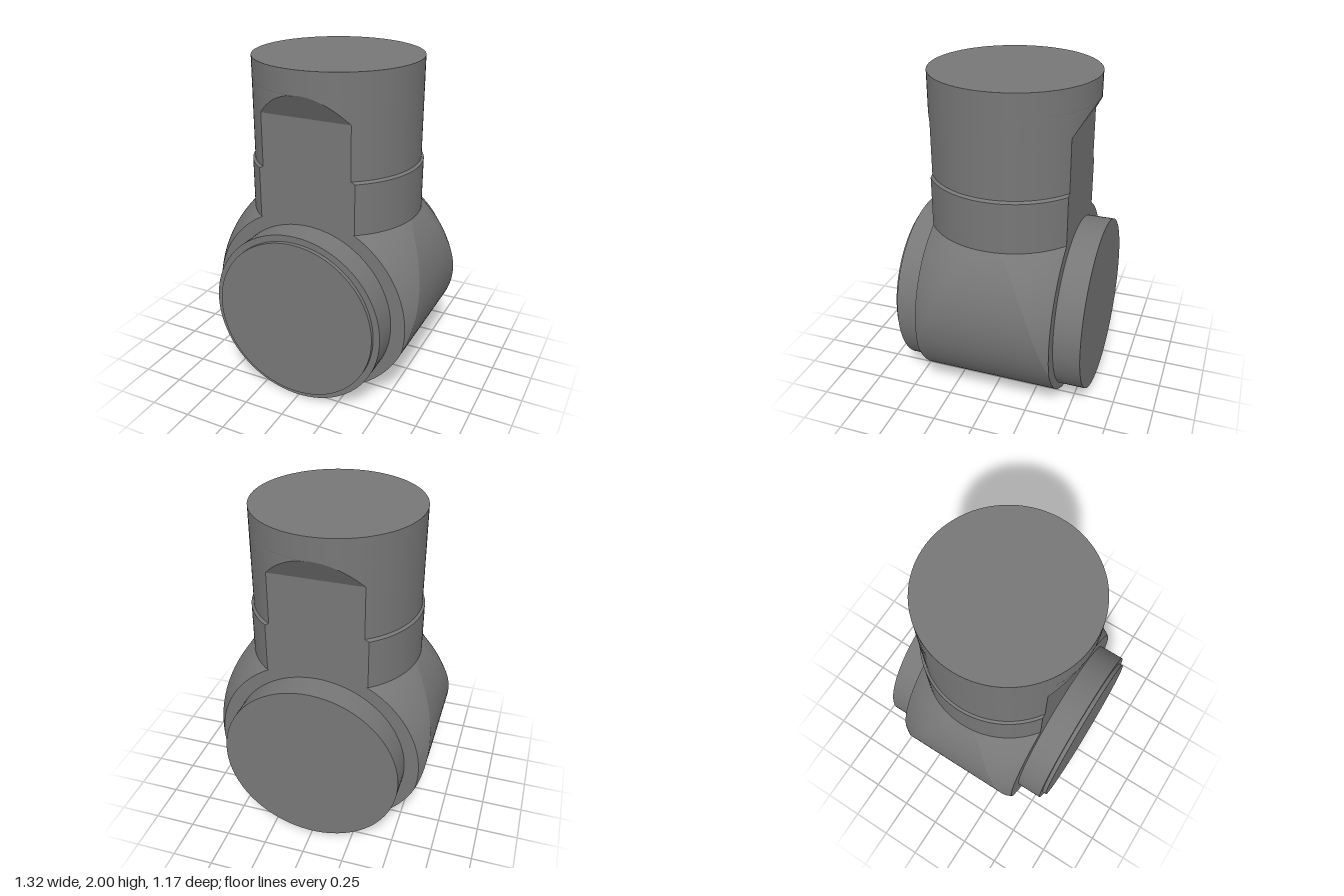
import * as THREE from 'three';
import { mergeGeometries } from 'three/addons/utils/BufferGeometryUtils.js';

const DEPTH = 0.412;   // half distance between the flat front and back
const SHIFT = -0.012;  // slight rearward offset of body and neck
const NECK_Y = 1.087;  // where the neck leaves the body

// Grid surface; fn(u, v) returns [x, y, z], facing du x dv
function patch(nu, nv, fn) {
  const pos = [], idx = [];
  for (let j = 0; j <= nv; j++)
    for (let i = 0; i <= nu; i++) pos.push(...fn(i / nu, j / nv));
  for (let j = 0; j < nv; j++)
    for (let i = 0; i < nu; i++) {
      const a = j * (nu + 1) + i, b = a + 1, c = b + nu + 1, d = a + nu + 1;
      idx.push(a, b, c, a, c, d);
    }
  const g = new THREE.BufferGeometry();
  g.setAttribute('position', new THREE.Float32BufferAttribute(pos, 3));
  g.setIndex(idx);
  g.computeVertexNormals();
  return g;
}

// Joins half a surface with its copy turned half way round the y axis
function turnedPair(parts) {
  const half = mergeGeometries(parts);
  return mergeGeometries([half, half.clone().rotateY(Math.PI)]);
}

// Body: horizontal cylinder trimmed by a sphere and two flat faces
function bodyGeometry() {
  const R = 0.66, cy = 0.66, S2 = 0.5555, sy = 0.54;
  const face2 = S2 - DEPTH * DEPTH;
  // height at which the sphere starts trimming the flat faces
  const yCut = (face2 - sy * sy - R * R + cy * cy) / (2 * (cy - sy));
  const tCut = Math.asin((yCut - cy) / R), tTop = Math.asin((NECK_Y - cy) / R);
  const lowY = v => cy + R * Math.sin(THREE.MathUtils.lerp(-Math.PI / 2, tCut, v));
  const highY = v => cy + R * Math.sin(THREE.MathUtils.lerp(tCut, tTop, v));
  const cylX = y => Math.sqrt(Math.max(0, R * R - (y - cy) ** 2));
  const sphX = (y, z) => Math.sqrt(Math.max(0, S2 - (y - sy) ** 2 - z * z));
  const seam = y => Math.min(DEPTH, Math.sqrt(Math.max(0, S2 - (y - sy) ** 2 - cylX(y) ** 2)));

  const yAt = v => (v <= 0.5 ? lowY(v * 2) : highY(v * 2 - 1));
  const side = patch(4, 64, (u, v) => {
    const y = yAt(v), b = y <= yCut ? DEPTH : seam(y);
    return [cylX(y), y, b * (1 - 2 * u)];
  });
  const shoulder = back => patch(12, 32, (u, v) => {
    const y = highY(v), b = seam(y);
    const z = back ? -THREE.MathUtils.lerp(b, DEPTH, u) : THREE.MathUtils.lerp(DEPTH, b, u);
    return [sphX(y, z), y, z];
  });
  const face = patch(2, 64, (u, v) => {
    const y = yAt(v), x = Math.min(cylX(y), sphX(y, DEPTH));
    return [x * (2 * u - 1), y, DEPTH];
  });
  return turnedPair([side, shoulder(false), shoulder(true), face]);
}

// Upright round column with flats; levels are [y, radius, flat distance]
function columnGeometry(levels) {
  const arc = (u, y, r, f) => {
    const t = Math.asin(Math.min(1, f / r)) * (1 - 2 * u);
    return [r * Math.cos(t), y, r * Math.sin(t)];
  };
  const flat = (u, y, r, f) => [Math.sqrt(Math.max(0, r * r - f * f)) * (2 * u - 1), y, Math.min(f, r)];
  const parts = [];
  for (let k = 0; k + 1 < levels.length; k++) {
    const at = v => levels[k].map((a, n) => THREE.MathUtils.lerp(a, levels[k + 1][n], v));
    for (const edge of [arc, flat]) parts.push(patch(40, 16, (u, v) => edge(u, ...at(v))));
  }
  // end caps
  const cap = (level, up) => {
    for (const edge of [arc, flat])
      parts.push(patch(40, 1, (u, v) => {
        const [x, y, z] = edge(u, ...level), s = up ? 1 - v : v;
        return [x * s, y, z * s];
      }));
  };
  cap(levels[0], false);
  cap(levels[levels.length - 1], true);
  return turnedPair(parts);
}

export function createModel() {
  const group = new THREE.Group();
  const material = new THREE.MeshStandardMaterial({ color: 0x777777 });
  const add = (name, geometry, y, z) => {
    const mesh = new THREE.Mesh(geometry, material);
    mesh.name = name;
    mesh.position.set(0, y, z);
    group.add(mesh);
  };
  // Disc lying along z between z0 and z1
  const disc = (name, r, z0, z1) =>
    add(name, new THREE.CylinderGeometry(r, r, z1 - z0, 96).rotateX(Math.PI / 2), 0.55, (z0 + z1) / 2);

  add('body', bodyGeometry(), 0, SHIFT);

  // Neck collar with a small chamfer, then the head whose flats slope out to full round
  add('neckCollar', columnGeometry([[NECK_Y, 0.51, DEPTH], [1.39, 0.51, DEPTH], [1.403, 0.496, DEPTH]]), 0, SHIFT);
  add('head', columnGeometry([[1.403, 0.496, DEPTH], [1.72, 0.496, DEPTH], [1.865, 0.496, 0.496], [2, 0.496, 0.496]]), 0, SHIFT);

  // Round end bosses
  disc('frontBoss', 0.535, 0.39, 0.56);
  disc('frontCover', 0.496, 0.55, 0.585);
  disc('backBoss', 0.535, -0.585, -0.41);
  return group;
}
